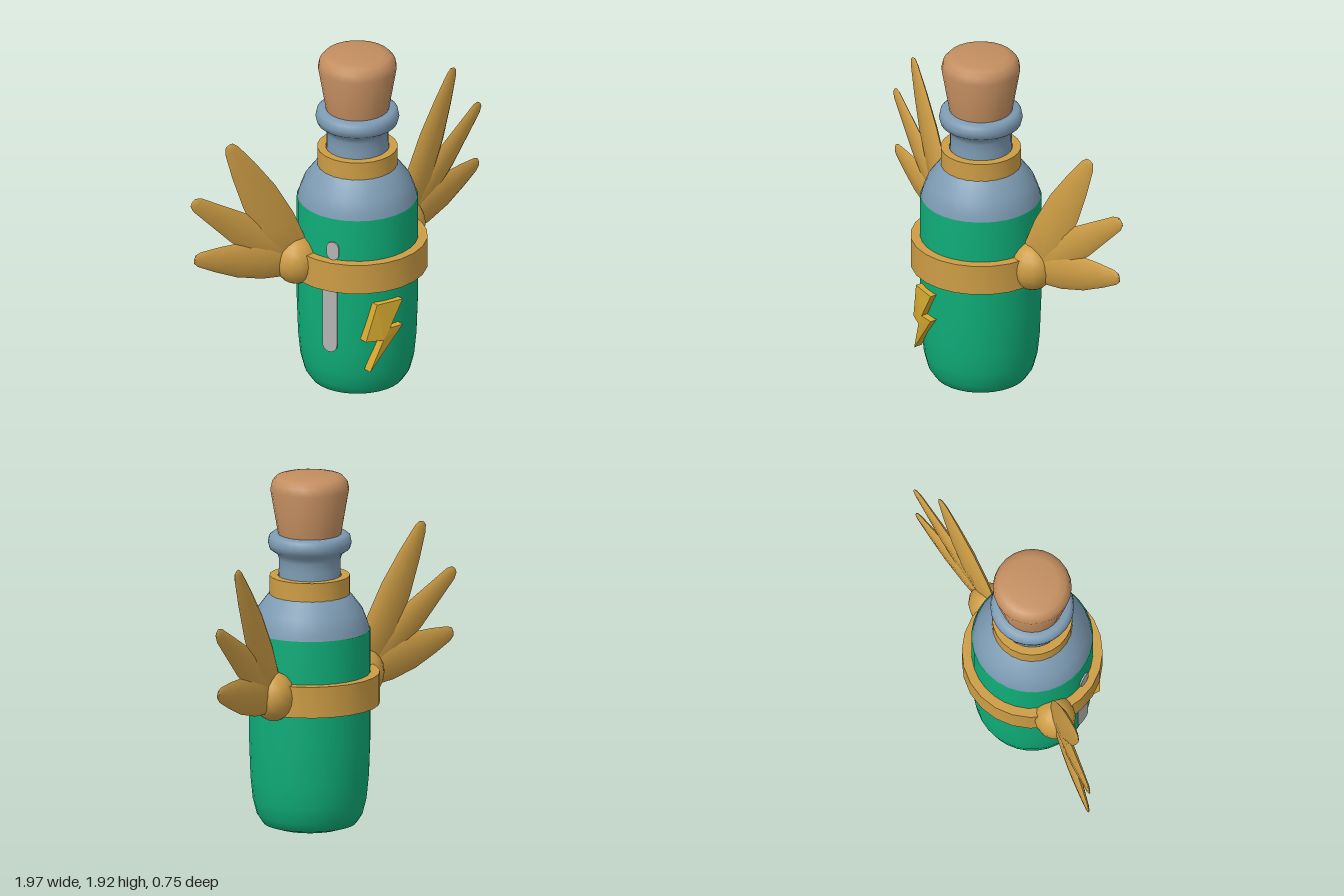
import * as THREE from 'three';
import { toCreasedNormals } from 'three/addons/utils/BufferGeometryUtils.js';

const material = (name, color, side = THREE.FrontSide) => {
  const m = new THREE.MeshStandardMaterial({ color, side });
  m.name = name;
  return m;
};

export function createModel() {
  const gold = material('gold', 0xcd9d45);
  const cork = material('cork', 0xc38e60);
  const glass = material('blue glass', 0x7d9bb3, THREE.DoubleSide);
  const green = material('green liquid', 0x0fac78, THREE.DoubleSide);
  const yellow = material('bolt yellow', 0xd6aa30);
  const silver = material('silver', 0xb4b4b4);

  const model = new THREE.Group();
  model.name = 'wingedBottle';

  const add = (parent, name, geometry, mat) => {
    const mesh = new THREE.Mesh(geometry, mat);
    mesh.name = name;
    parent.add(mesh);
    return mesh;
  };
  const lathe = (points, segments) =>
    new THREE.LatheGeometry(points.map(([r, y]) => new THREE.Vector2(r, y)), segments);
  const band = (inner, outer, y0, y1, segments) => toCreasedNormals(
    lathe([[outer, y0], [outer, y1], [inner, y1], [inner, y0], [outer, y0]], segments), 0.7);

  // Bottle body, shoulder with neck and lip, and stopper
  add(model, 'body', lathe([[0, 0.005], [0.19, 0.005], [0.25, 0.025], [0.283, 0.075], [0.305, 0.16],
    [0.317, 0.28], [0.325, 0.5], [0.325, 1.085], [0.31, 1.085]], 32), green);
  add(model, 'shoulder', toCreasedNormals(lathe([[0.32, 1.08], [0.312, 1.12], [0.285, 1.19],
    [0.225, 1.27], [0.168, 1.32], [0.165, 1.42], [0.165, 1.47], [0.175, 1.5], [0.215, 1.528],
    [0.224, 1.56], [0.217, 1.595], [0.2, 1.608], [0.15, 1.608]], 28), 0.75), glass);
  add(model, 'stopper', toCreasedNormals(lathe([[0, 1.55], [0.16, 1.55], [0.168, 1.6], [0.211, 1.85],
    [0.203, 1.89], [0.18, 1.917], [0.14, 1.926], [0, 1.926]], 24), 0.8), cork);

  // Gold bands
  add(model, 'neckBand', band(0.17, 0.215, 1.27, 1.38, 24), gold);
  add(model, 'belt', band(0.32, 0.376, 0.68, 0.85, 24), gold);

  // Wings: flattened, tapered feathers fanned from a round joint
  const feathers = [
    { name: 'upperFeather', angle: 62, length: 0.875, width: 0.115 },
    { name: 'middleFeather', angle: 37.5, length: 0.79, width: 0.095 },
    { name: 'lowerFeather', angle: 12.5, length: 0.63, width: 0.11 },
  ];
  for (const side of [1, -1]) {
    const wing = new THREE.Group();
    wing.name = side > 0 ? 'leftWing' : 'rightWing';
    wing.position.set(side * 0.36, 0.785, -0.06);
    wing.rotation.y = side > 0 ? 0.2 : Math.PI - 0.2;
    for (const { name, angle, length: l, width: w } of feathers) {
      const g = lathe([[0, -0.04], [w * 0.8, 0], [w, l * 0.3], [w * 0.93, l * 0.55],
        [w * 0.65, l * 0.78], [0.042, l * 0.95], [0.025, l * 0.99], [0, l]], 8);
      g.scale(1, 1, 0.26);
      g.rotateZ(THREE.MathUtils.degToRad(angle - 90));
      add(wing, name, toCreasedNormals(g, 0.6), gold);
    }
    const joint = add(wing, 'wingJoint', new THREE.SphereGeometry(1, 14, 10), gold);
    joint.scale.set(0.125, 0.132, 0.112);
    model.add(wing);
  }

  // Lightning emblem in two halves, bent around the body
  const bolt = (name, points) => {
    const shape = new THREE.Shape(points.map(p => new THREE.Vector2(...p)));
    const g = new THREE.ExtrudeGeometry(shape, { depth: 0.045, bevelEnabled: false });
    const p = g.attributes.position;
    for (let i = 0; i < p.count; i++) {
      const r = 0.318 + p.getZ(i);
      p.setZ(i, Math.sqrt(r * r - p.getX(i) ** 2));
    }
    g.computeVertexNormals();
    add(model, name, g, yellow);
  };
  bolt('boltTop', [[-0.13, 0.6], [-0.185, 0.385], [-0.095, 0.385], [-0.058, 0.45], [0.025, 0.6]]);
  bolt('boltBottom', [[-0.095, 0.385], [-0.165, 0.205], [0.025, 0.45], [-0.058, 0.45]]);

  // Rounded silver glints on the side of the body
  const glint = (name, y0, y1, width, angle) => {
    const r = width / 2;
    const s = new THREE.Shape();
    s.absarc(0, y1 - r, r, 0, Math.PI, false);
    s.absarc(0, y0 + r, r, Math.PI, Math.PI * 2, false);
    const g = new THREE.ExtrudeGeometry(s, { depth: 0.009, bevelEnabled: false, curveSegments: 6 });
    g.translate(0, 0, 0.326);
    g.rotateY(angle);
    add(model, name, g, silver);
  };
  glint('upperGlint', 0.85, 0.955, 0.07, -1.07);
  glint('lowerGlint', 0.3, 0.7, 0.085, -1.12);

  return model;
}
